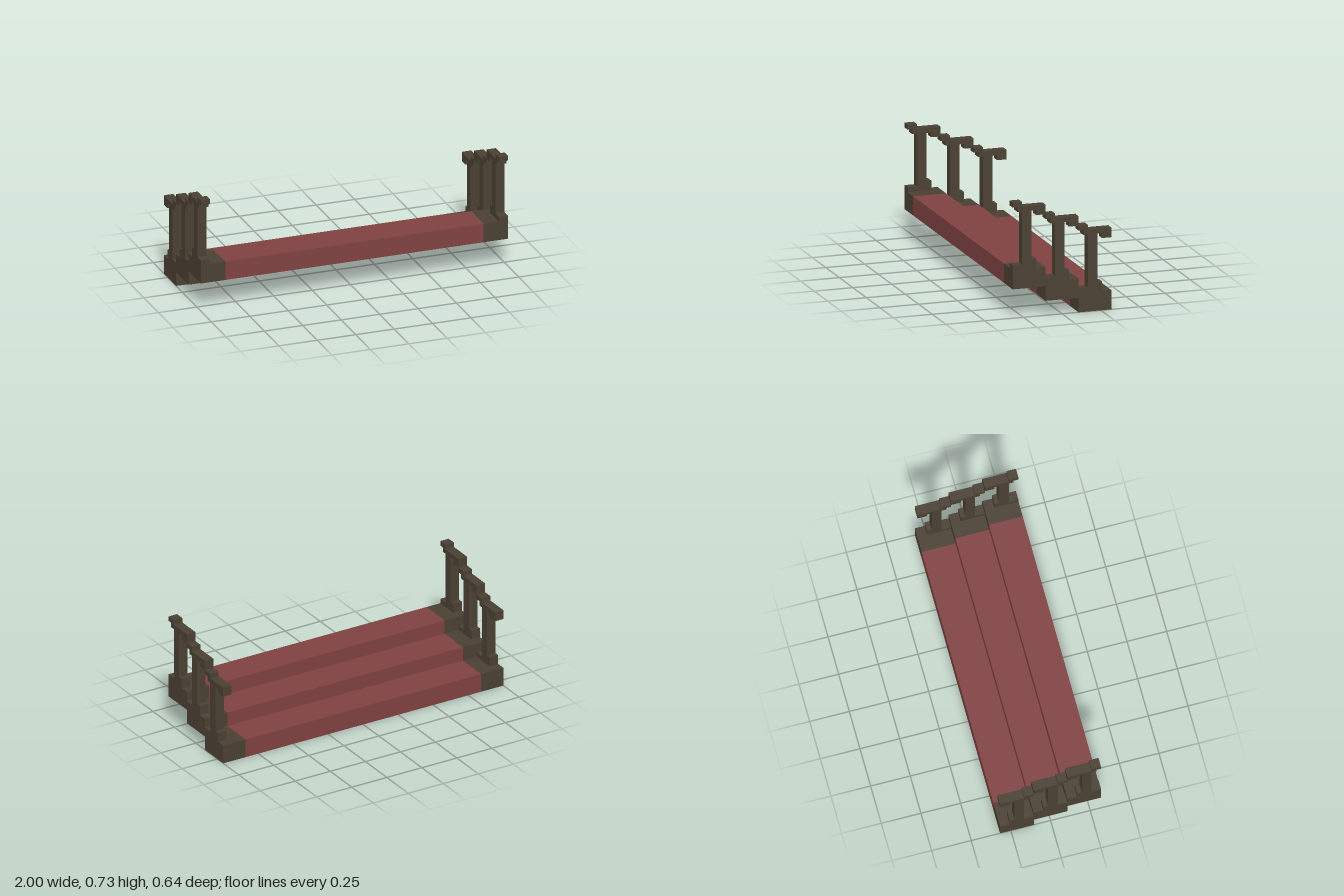
import * as THREE from 'three';

const U = 1 / 33; // modelling unit: the whole staircase is 66 units wide

// Railing outline of one step as [z, y] in units, measured from the step's base centre
const RAILING = [
  [3.5, 4], [3.5, 5], [1.5, 5], [1.5, 16], [2.5, 16], [2.5, 17], [3.5, 17], [3.5, 18], [1.5, 18],
  [1.5, 17], [-3.5, 17], [-3.5, 15], [-1.5, 15], [-1.5, 16], [-0.5, 16], [-0.5, 6], [-1.5, 6], [-1.5, 4],
];

export function createModel() {
  const wood = new THREE.MeshStandardMaterial({ color: 0x4a4033 });
  wood.name = 'darkWood';
  const carpet = new THREE.MeshStandardMaterial({ color: 0x7f4141 });
  carpet.name = 'redCarpet';

  const stairs = new THREE.Group();
  stairs.name = 'staircase';

  const add = (parent, name, geometry, material, x, y) => {
    const mesh = new THREE.Mesh(geometry, material);
    mesh.name = name;
    mesh.position.set(x, y, 0);
    parent.add(mesh);
  };

  // Shared geometries
  const half = 27.75 * U;
  const endWidth = 1 - half;
  const treadGeo = new THREE.BoxGeometry(2 * half, 4 * U, 7 * U);
  const endGeo = new THREE.BoxGeometry(endWidth, 4 * U, 7 * U);
  const outline = new THREE.Shape(RAILING.map(([z, y]) => new THREE.Vector2(z * U, y * U)));
  const railGeo = new THREE.ExtrudeGeometry(outline, { depth: 2 * U, bevelEnabled: false });
  railGeo.translate(0, 0, -U);
  railGeo.rotateY(-Math.PI / 2); // outline x becomes z

  // Three identical steps rising towards the front
  for (let i = 0; i < 3; i++) {
    const step = new THREE.Group();
    step.name = `step${i + 1}`;
    step.position.set(0, 3 * i * U, 7 * (i - 1) * U);
    add(step, 'carpetedTread', treadGeo, carpet, 0, 2 * U);
    for (const [side, s] of [['left', 1], ['right', -1]]) {
      add(step, `${side}TreadEnd`, endGeo, wood, s * (half + endWidth / 2), 2 * U);
      add(step, `${side}Railing`, railGeo, wood, s * (1 - U), 0);
    }
    stairs.add(step);
  }
  return stairs;
}
